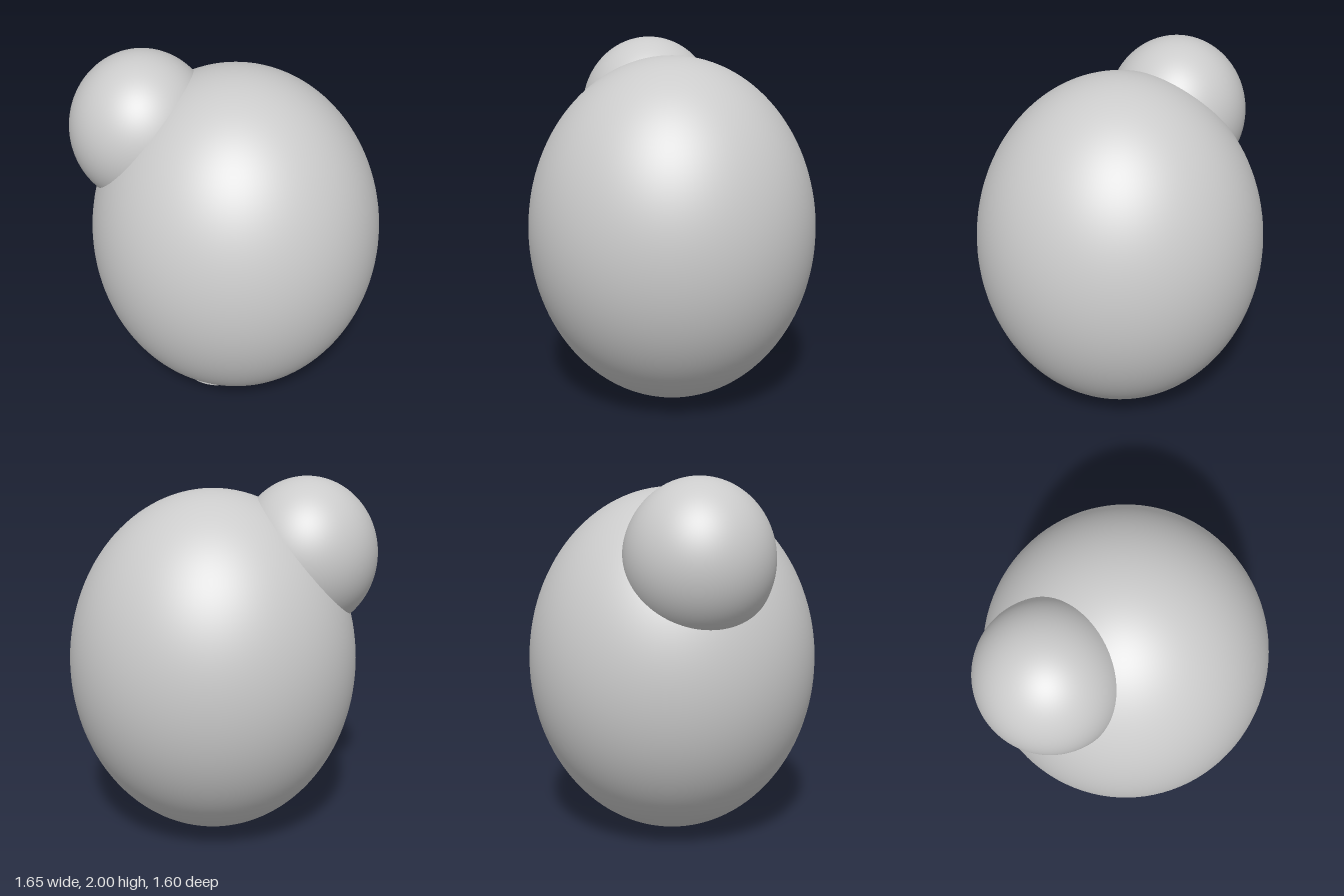
import * as THREE from 'three';

export function createModel() {
  const model = new THREE.Group();
  const material = new THREE.MeshStandardMaterial({ color: 0xcccccc });
  const bodyCentre = new THREE.Vector3(0.02, 0.966, 0);
  const bodyRadii = new THREE.Vector3(0.802, 0.964, 0.802);

  const add = (name, geometry) => {
    const mesh = new THREE.Mesh(geometry, material);
    mesh.name = name;
    model.add(mesh);
    return mesh;
  };

  const ellipsoid = (name, centre, radii) => {
    const geometry = new THREE.SphereGeometry(1, 96, 64);
    geometry.scale(radii.x, radii.y, radii.z);
    add(name, geometry).position.copy(centre);
  };

  // Point on the front of the body at a given x and y
  const onBody = (x, y) => {
    const u = (x - bodyCentre.x) / bodyRadii.x;
    const v = (y - bodyCentre.y) / bodyRadii.y;
    return new THREE.Vector3(x, y, bodyRadii.z * Math.sqrt(1 - u * u - v * v));
  };

  // Egg-shaped body and the rounded lobe sunk into its upper right
  ellipsoid('body', bodyCentre, bodyRadii);
  ellipsoid('sideLobe', new THREE.Vector3(-0.44, 1.577, 0.222), new THREE.Vector3(0.39, 0.423, 0.395));

  // Thin arched ridge low on the front, pinched to a point at both ends
  const path = new THREE.CatmullRomCurve3(
    [[0.03, 0.16], [0.075, 0.175], [0.13, 0.18], [0.185, 0.174], [0.225, 0.165]].map(([x, y]) => onBody(x, y))
  );
  const segments = 32, sides = 12;
  const ridge = new THREE.TubeGeometry(path, segments, 0.015, sides);
  const position = ridge.attributes.position;
  const p = new THREE.Vector3();
  for (let i = 0; i <= segments; i++) {
    const centre = path.getPointAt(i / segments);
    const taper = Math.sqrt(Math.sin(Math.PI * i / segments) + 1e-6);
    for (let j = 0; j <= sides; j++) {
      const k = i * (sides + 1) + j;
      p.fromBufferAttribute(position, k).sub(centre).multiplyScalar(taper).add(centre);
      position.setXYZ(k, p.x, p.y, p.z);
    }
  }
  ridge.computeVertexNormals();
  add('frontRidge', ridge);

  return model;
}
